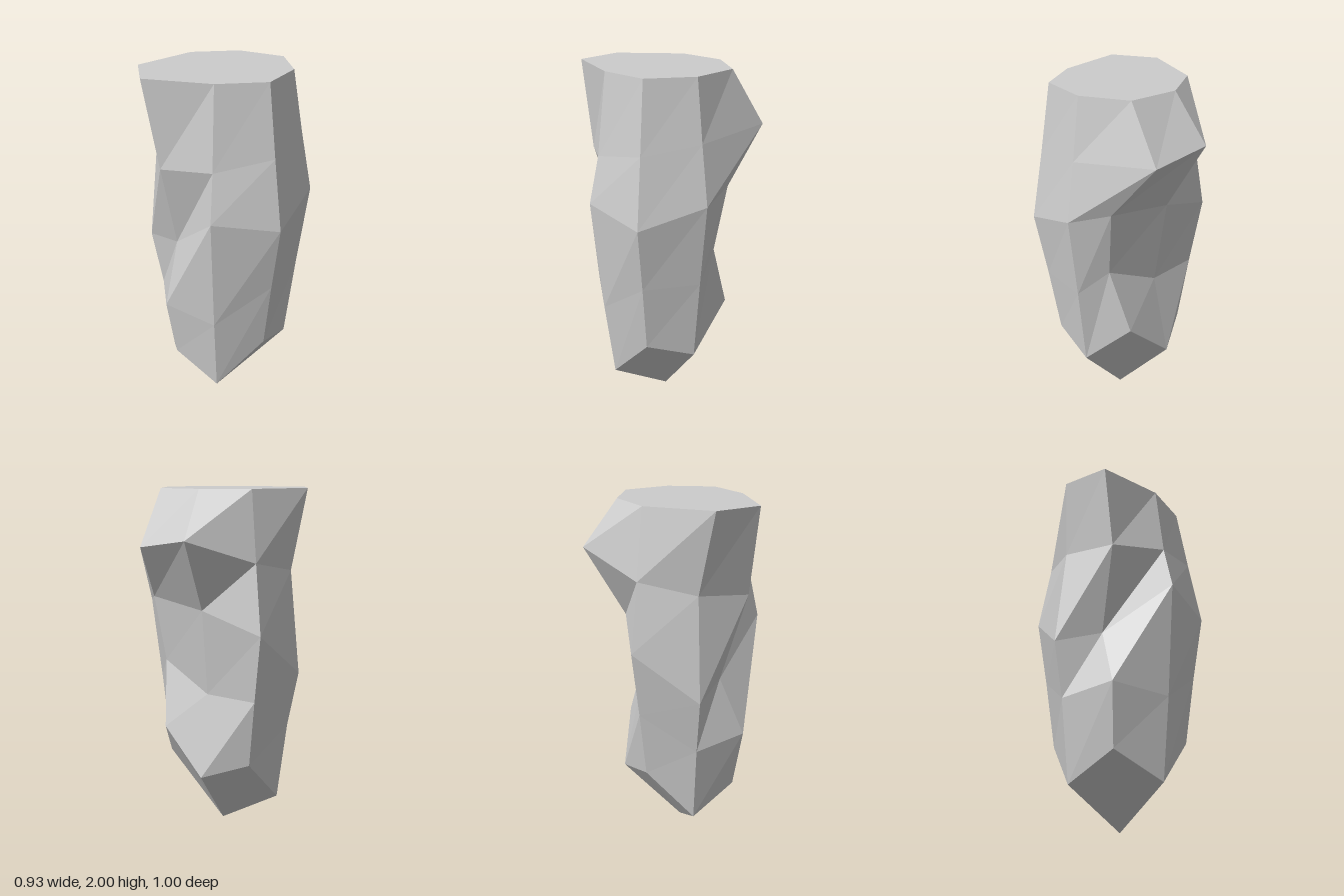
import * as THREE from 'three';

const CENTRE_Z = 0.035;

// Ring radii from the foot to the flat top
const RADII = [0.345, 0.4, 0.46, 0.4, 0.345];

// Ring heights for the eight columns: front, then round by +x, back and -x
const HEIGHTS = [
  [0.2, 0.65, 1.3, 1.56, 2],
  [0.48, 0.87, 1.24, 1.62, 2],
  [0.4, 0.88, 1.35, 1.67, 2],
  [0.65, 1.02, 1.4, 1.7, 2],
  [0.4, 0.87, 1.36, 1.75, 2],
  [0.48, 0.87, 1.25, 1.625, 2],
  [0.2, 0.66, 0.98, 1.56, 2],
  [0.345, 0.69, 1.03, 1.52, 2],
];

// Dents and bulges: [column, ring, x, z]
const DENTS = [
  [3, 1, 0.3, -0.11], [3, 2, 0.345, -0.16], [3, 3, 0.3, -0.4],
  [4, 1, 0, -0.21], [4, 2, 0, -0.28], [4, 3, 0, -0.5],
  [6, 4, -0.465, 0.1], [7, 2, -0.26, 0.2], [7, 4, -0.375, 0.355],
];

function rockGeometry() {
  const cols = HEIGHTS.length;
  const rings = RADII.length;

  // Regular octagonal rings, then the dents
  const grid = HEIGHTS.map((heights, c) => heights.map((y, r) => {
    const a = (c / cols) * Math.PI * 2;
    const radius = RADII[r] * (c % 2 ? 0.75 * Math.SQRT2 : 1);
    return new THREE.Vector3(Math.sin(a) * radius, y, CENTRE_Z + Math.cos(a) * radius);
  }));
  for (const [c, r, x, z] of DENTS) grid[c][r].set(x, grid[c][r].y, z);

  const foot = new THREE.Vector3(0, 0, CENTRE_Z);
  const top = new THREE.Vector3(0, 2, CENTRE_Z);
  const points = [];
  for (let c = 0; c < cols; c++) {
    const a = grid[c];
    const b = grid[(c + 1) % cols];
    points.push(foot, b[0], a[0]);
    for (let r = 0; r < rings - 1; r++) {
      points.push(a[r], b[r], b[r + 1], a[r], b[r + 1], a[r + 1]);
    }
    points.push(top, a[rings - 1], b[rings - 1]);
  }
  const geometry = new THREE.BufferGeometry().setFromPoints(points);
  geometry.computeVertexNormals();
  return geometry;
}

export function createModel() {
  const group = new THREE.Group();
  group.name = 'rockPillar';
  const material = new THREE.MeshStandardMaterial({ color: 0xcccccc, flatShading: true });
  const rock = new THREE.Mesh(rockGeometry(), material);
  rock.name = 'rock';
  group.add(rock);
  return group;
}
